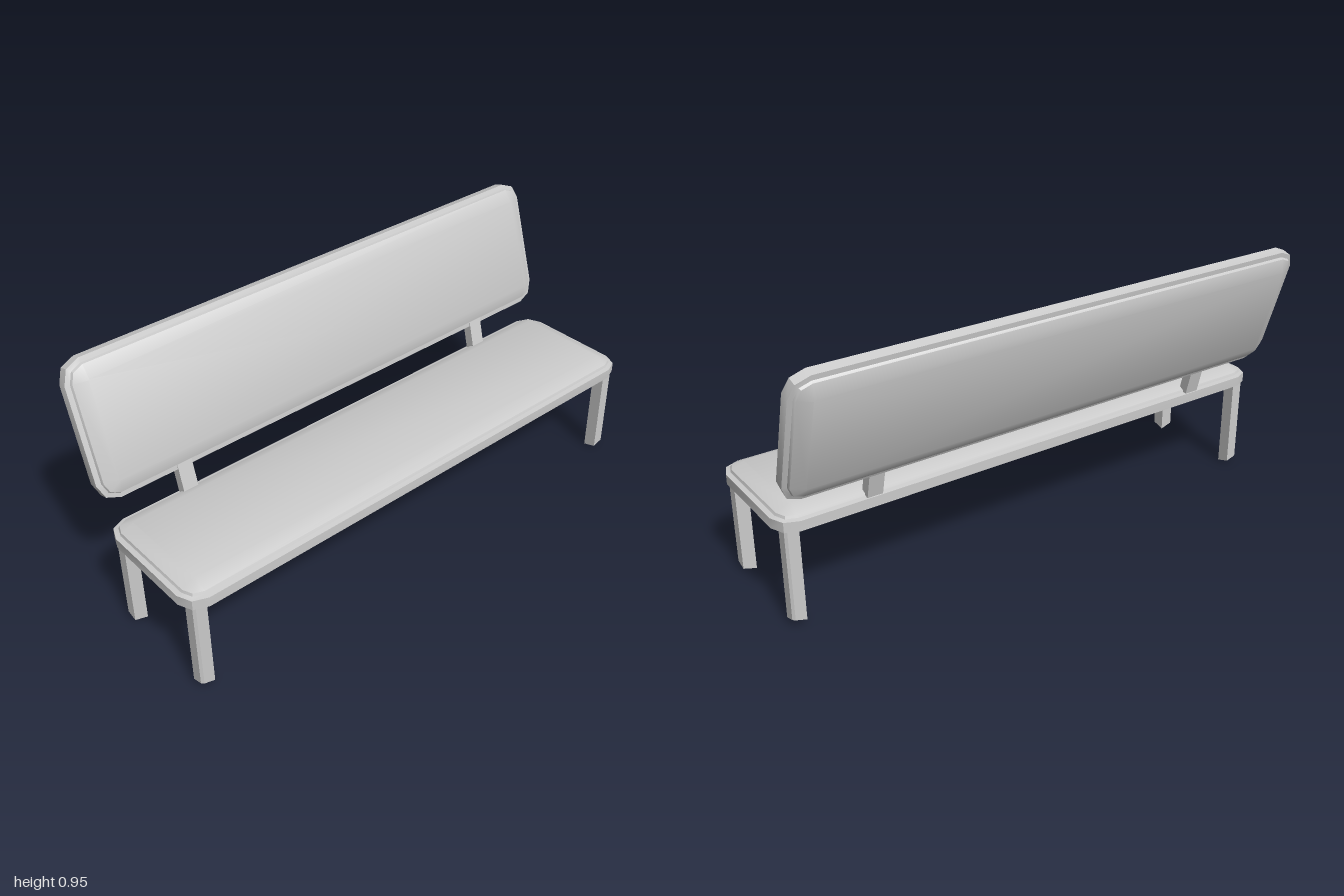
import * as THREE from 'three';
import { toCreasedNormals } from 'three/addons/utils/BufferGeometryUtils.js';

const material = new THREE.MeshStandardMaterial({ color: 0xcccccc });

function addMesh(parent, name, geometry) {
  const mesh = new THREE.Mesh(geometry, material);
  mesh.name = name;
  parent.add(mesh);
  return mesh;
}

// Padded board: rounded-rectangle rings stacked along y, capped above and below.
function cushionGeometry(width, length) {
  const radius = 0.07, steps = 2;
  const half = [[0, 0.018], [0.017, 0.021], [0.021, 0.03], [0.067, 0.05]]; // inset, height
  const profile = [...half.map(([i, h]) => [i, -h]).reverse(), ...half];
  const n = 4 * (steps + 1);
  const positions = [], index = [];
  for (const [inset, y] of profile) {
    const r = radius - inset;
    for (let c = 0; c < 4; c++) {
      const sx = c === 0 || c === 3 ? 1 : -1, sz = c < 2 ? 1 : -1;
      for (let s = 0; s <= steps; s++) {
        const a = (c + s / steps) * Math.PI / 2;
        positions.push(
          sx * (width / 2 - radius) + r * Math.cos(a), y,
          sz * (length / 2 - radius) + r * Math.sin(a));
      }
    }
  }
  const last = profile.length - 1;
  for (let k = 0; k < last; k++) {
    for (let i = 0; i < n; i++) {
      const a = k * n + i, b = k * n + (i + 1) % n;
      index.push(a, a + n, b, b, a + n, b + n);
    }
  }
  // Caps
  const bottom = positions.length / 3, top = bottom + 1;
  positions.push(0, profile[0][1], 0, 0, profile[last][1], 0);
  for (let i = 0; i < n; i++) {
    const j = (i + 1) % n;
    index.push(bottom, i, j, top, last * n + j, last * n + i);
  }
  const geometry = new THREE.BufferGeometry();
  geometry.setAttribute('position', new THREE.Float32BufferAttribute(positions, 3));
  geometry.setIndex(index);
  return toCreasedNormals(geometry, THREE.MathUtils.degToRad(28));
}

// Square leg with a chamfered outer corner and a foot cut at a slant.
function legGeometry() {
  const w = 0.048, c = 0.008, height = 0.36;
  const shape = new THREE.Shape([[0, 0], [w, 0], [w, w - c], [w - c, w], [0, w]]
    .map(([x, y]) => new THREE.Vector2(x, y)));
  const geometry = new THREE.ExtrudeGeometry(shape, { depth: height, bevelEnabled: false });
  const p = geometry.attributes.position;
  for (let i = 0; i < p.count; i++) {
    if (p.getZ(i) < 0.001) p.setZ(i, 0.3 * (p.getX(i) + p.getY(i)));
  }
  geometry.rotateX(-Math.PI / 2); // outer corner now points to +x, -z
  geometry.computeVertexNormals();
  return geometry;
}

export function createModel() {
  const bench = new THREE.Group();
  bench.name = 'bench';
  const seatX = 0.085;

  // Seat and tilted backrest share the same padded board
  const cushion = cushionGeometry(0.48, 2);
  addMesh(bench, 'seat', cushion).position.set(seatX, 0.372, 0);
  const back = addMesh(bench, 'backrest', cushion);
  back.position.set(-0.23, 0.713, 0);
  back.rotation.z = THREE.MathUtils.degToRad(107.1);

  // Legs, each turned so its chamfer faces outwards
  const leg = legGeometry();
  [[1, -1, 0], [-1, -1, 1], [-1, 1, 2], [1, 1, 3]].forEach(([sx, sz, turns]) => {
    const name = (sz > 0 ? 'front' : 'rear') + (sx > 0 ? 'Left' : 'Right') + 'Leg';
    const mesh = addMesh(bench, name, leg);
    mesh.position.set(seatX + sx * 0.172, 0, sz * 0.929);
    mesh.rotation.y = turns * Math.PI / 2;
  });

  // Brackets joining the backrest to the seat
  const bracket = new THREE.BoxGeometry(0.036, 0.17, 0.056);
  for (const [name, z] of [['frontBracket', 0.688], ['rearBracket', -0.668]]) {
    const mesh = addMesh(bench, name, bracket);
    mesh.position.set(-0.145, 0.44, z);
    mesh.rotation.z = THREE.MathUtils.degToRad(14);
  }
  return bench;
}
